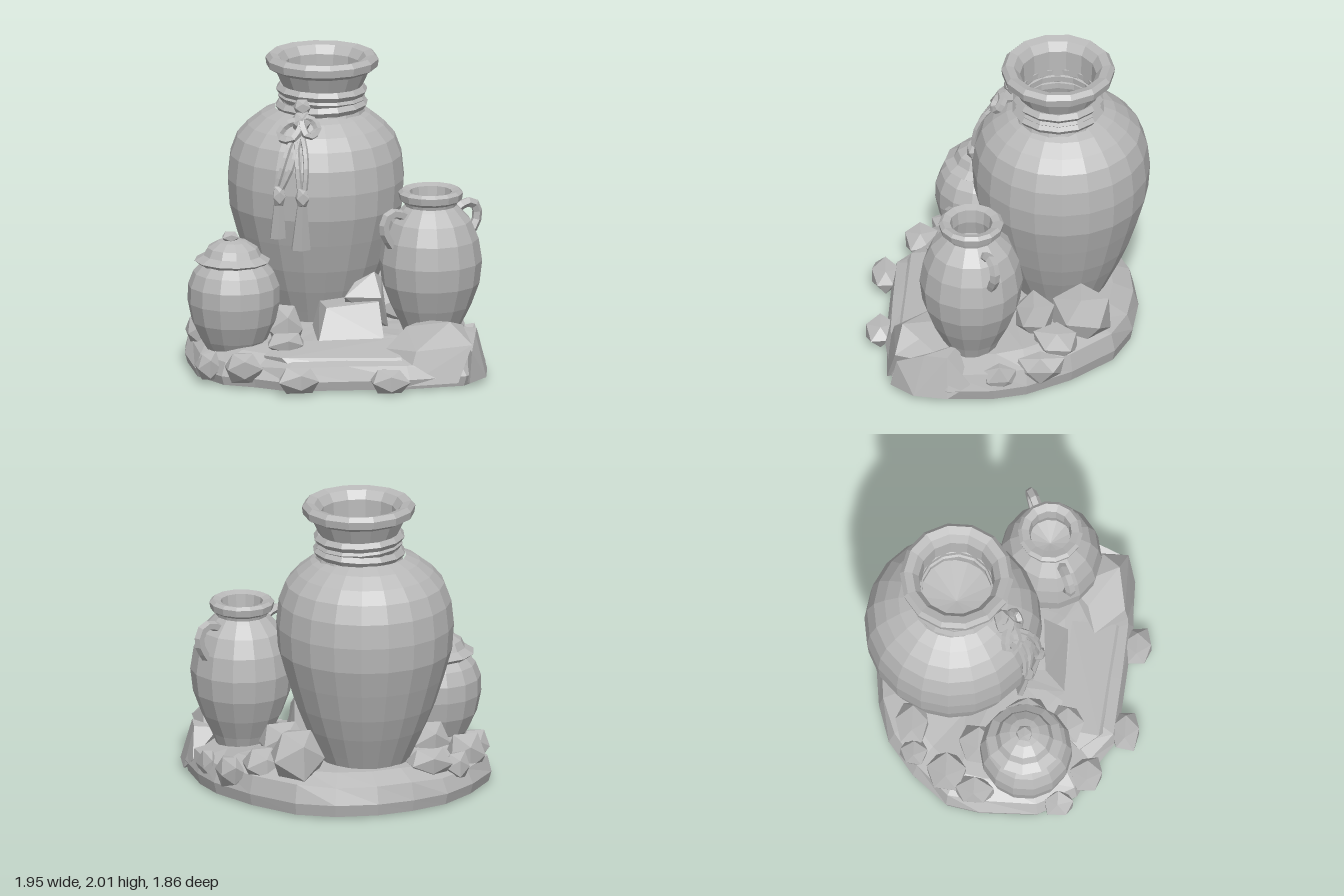
import * as THREE from 'three';
import { ConvexGeometry } from 'three/addons/geometries/ConvexGeometry.js';

const stone = new THREE.MeshStandardMaterial({ color: 0xb8b8b8, flatShading: true });
stone.name = 'grey stone';

// Seeded random in -1..1
let seed = 7;
const rnd = () => {
  seed = (seed * 16807) % 2147483647;
  return (seed / 2147483647) * 2 - 1;
};
const V = (x, y, z) => new THREE.Vector3(x, y, z);

function add(parent, name, geometry, x = 0, y = 0, z = 0) {
  const mesh = new THREE.Mesh(geometry, stone);
  mesh.name = name;
  mesh.position.set(x, y, z);
  parent.add(mesh);
  return mesh;
}

const lathe = (profile, sides) =>
  new THREE.LatheGeometry(profile.map(([r, y]) => new THREE.Vector2(r, y)), sides);

// Irregular faceted rock: convex hull of jittered points on a box-like ellipsoid
function rock(parent, name, x, y, z, rx, ry, rz) {
  const src = new THREE.IcosahedronGeometry(1, 0).toNonIndexed().getAttribute('position');
  const seen = new Map();
  for (let i = 0; i < src.count; i++) {
    const p = V().fromBufferAttribute(src, i);
    const key = p.toArray().map(v => v.toFixed(2)).join();
    if (!seen.has(key)) {
      p.multiplyScalar(1.08 + 0.14 * rnd());
      seen.set(key, V(p.x * rx, p.y * ry, p.z * rz));
    }
  }
  add(parent, name, new ConvexGeometry([...seen.values()]), x, y, z);
}

const hull = (parent, name, pts) =>
  add(parent, name, new ConvexGeometry(pts.map(p => V(...p))));

// Rocky plinth from scaled copies of one outline
function plinth() {
  const outline = [
    [-0.95, -0.13], [-0.91, -0.35], [-0.72, -0.58], [-0.5, -0.75], [-0.25, -0.83], [0, -0.86],
    [0.28, -0.82], [0.52, -0.7], [0.75, -0.42], [0.91, -0.12], [0.96, 0.1], [0.96, 0.4],
    [0.87, 0.66], [0.78, 0.76], [0.4, 0.8], [0, 0.77], [-0.4, 0.74], [-0.6, 0.6],
    [-0.8, 0.5], [-0.94, 0.25]];
  const rings = [[0, 0], [0.98, 0], [1, 0.07], [0.96, 0.17], [0.8, 0.225], [0.45, 0.25], [0, 0.26]];
  const pos = [], index = [], n = outline.length;
  rings.forEach(([s, h], k) => {
    for (const [x, z] of outline) {
      const j = k > 2 && s ? 0.015 * rnd() : 0;
      pos.push(x * (s + j), h * (1 + 0.1 * x * s - 0.15 * z * s) + j, z * (s + j));
    }
  });
  for (let k = 0; k < rings.length - 1; k++) {
    for (let j = 0; j < n; j++) {
      const a = k * n + j, a2 = k * n + (j + 1) % n;
      index.push(a, a + n, a2 + n, a, a2 + n, a2);
    }
  }
  const g = new THREE.BufferGeometry();
  g.setAttribute('position', new THREE.Float32BufferAttribute(pos, 3));
  g.setIndex(index);
  g.computeVertexNormals();
  return g;
}

// Large jar body: radius by height
const JAR = { x: -0.05, z: -0.355 };
const jarProfile = [[0, 0.2], [0.27, 0.2], [0.33, 0.33], [0.4, 0.48], [0.46, 0.63], [0.52, 0.82],
  [0.57, 1.0], [0.582, 1.17], [0.565, 1.33], [0.52, 1.45], [0.45, 1.53], [0.36, 1.6], [0.27, 1.64]];

// Point on the jar's front surface, lifted outwards
function onJar(x, y, lift) {
  const i = Math.max(2, jarProfile.findIndex(p => p[1] >= y));
  const [r0, y0] = jarProfile[i - 1], [r1, y1] = jarProfile[i];
  const r = r0 + (r1 - r0) * (y - y0) / (y1 - y0) + lift;
  return V(x, y, JAR.z + Math.sqrt(Math.max(0, r * r - (x - JAR.x) ** 2)));
}

const tube = (pts, radius, steps = 8, sides = 5, closed = false) =>
  new THREE.TubeGeometry(new THREE.CatmullRomCurve3(pts, closed), steps, radius, sides, closed);

function largeJar() {
  const g = new THREE.Group();
  g.name = 'largeJar';
  add(g, 'jarBody', lathe(jarProfile, 20), JAR.x, 0, JAR.z);
  const neck = add(g, 'jarNeck', lathe([[0.29, 1.6], [0.27, 1.66], [0.26, 1.78], [0.31, 1.89],
    [0.365, 1.92], [0.372, 1.97], [0.345, 2.0], [0.29, 1.985], [0.25, 1.93], [0.24, 1.75], [0.3, 1.55],
    [0, 1.5]], 14), -0.02, 0, -0.335);
  neck.rotation.z = -0.004;
  // Rope wound around the neck
  [[1.665, 0.272, 0.03], [1.715, 0.255, -0.04], [1.765, 0.268, -0.02]].forEach(([y, r, tilt]) => {
    const rope = add(g, 'neckRope', new THREE.TorusGeometry(r, 0.034, 5, 14), -0.015, y, -0.335);
    rope.rotation.set(Math.PI / 2, tilt, 0);
  });
  // Knot with bow loops
  rock(g, 'knot', -0.2, 1.63, 0.0, 0.065, 0.07, 0.07);
  rock(g, 'knotTop', -0.19, 1.72, -0.03, 0.055, 0.055, 0.05);
  add(g, 'bowLoop', tube([V(-0.2, 1.64, 0.03), V(-0.3, 1.61, 0.0), V(-0.35, 1.54, 0.02),
    V(-0.27, 1.53, 0.08)], 0.028, 10, 5, true));
  add(g, 'bowLoop', tube([V(-0.2, 1.65, 0.03), V(-0.13, 1.64, 0.02), V(-0.1, 1.58, 0.06),
    V(-0.17, 1.55, 0.09)], 0.028, 10, 5, true));
  // Two hanging cords, each ending in a bead and a flared tassel
  [[-0.37, 0.88, 0.058], [-0.225, 0.81, 0.07]].forEach(([x, end, w]) => {
    for (const s of [-1, 1]) {
      const pts = [1.57, 1.48, 1.35, 1.22].map((y, i) =>
        onJar(-0.22 + (x + 0.22) * (i / 3) + s * 0.014 * (1 + Math.sin(i)), y, 0.015));
      add(g, 'cord', tube(pts, 0.02, 6));
    }
    const b = onJar(x, 1.17, 0.02);
    rock(g, 'bead', b.x, b.y, b.z, 0.045, 0.065, 0.04);
    const foot = onJar(x, end, 0.025);
    const len = b.distanceTo(foot);
    const skirt = add(g, 'tassel', new THREE.CylinderGeometry(0.03, w, len, 6), 0, 0, 0);
    skirt.position.copy(b).lerp(foot, 0.5);
    skirt.scale.z = 0.55;
    skirt.rotation.x = Math.asin((b.z - foot.z) / len);
  });
  return g;
}

function handledPot() {
  const g = new THREE.Group();
  g.name = 'handledPot';
  g.position.set(0.62, 0, 0.24);
  add(g, 'potBody', lathe([[0, 0.2], [0.16, 0.2], [0.2, 0.3], [0.265, 0.43], [0.32, 0.58], [0.338, 0.73],
    [0.315, 0.88], [0.265, 1.0], [0.19, 1.08], [0.17, 1.1], [0.175, 1.12], [0.205, 1.14], [0.213, 1.185],
    [0.19, 1.205], [0.14, 1.19], [0.13, 1.1], [0.15, 1.0], [0, 0.96]], 14));
  // Pair of handles on opposite sides
  for (const a of [0.43, 0.43 + Math.PI]) {
    const pts = [[0.19, 1.04], [0.28, 1.08], [0.35, 1.05], [0.36, 0.96], [0.3, 0.86]]
      .map(([r, y]) => V(r, y, 0));
    const h = add(g, 'handle', tube(pts, 0.034, 7, 5));
    h.rotation.y = a;
  }
  return g;
}

function liddedPot() {
  const g = new THREE.Group();
  g.name = 'liddedPot';
  g.position.set(-0.67, 0, 0.16);
  add(g, 'potBody', lathe([[0, 0.14], [0.17, 0.15], [0.22, 0.23], [0.275, 0.35], [0.302, 0.48],
    [0.3, 0.59], [0.265, 0.68], [0.21, 0.74], [0, 0.76]], 14));
  const lid = add(g, 'lid', lathe([[0, 0.72], [0.21, 0.725], [0.25, 0.755], [0.19, 0.79], [0.165, 0.84],
    [0.1, 0.88], [0, 0.9]], 12), -0.015, 0, -0.01);
  lid.rotation.z = -0.01;
  rock(g, 'lidKnob', -0.02, 0.91, -0.01, 0.056, 0.038, 0.056);
  return g;
}

function rocks() {
  const g = new THREE.Group();
  g.name = 'rocks';
  // Big boulders at the front right
  hull(g, 'boulder', [[0.27, 0.05, 0.6], [0.28, 0.22, 0.55], [0.42, 0.35, 0.5], [0.68, 0.42, 0.69],
    [0.78, 0.37, 0.58], [0.82, 0.27, 0.74], [0.72, 0.03, 0.79], [0.38, 0.02, 0.79], [0.55, 0.36, 0.38],
    [0.85, 0.2, 0.38], [0.45, 0.24, 0.74]]);
  hull(g, 'edgeBoulder', [[0.97, 0.02, 0.4], [0.95, 0.12, 0.25], [0.9, 0.3, 0.4], [0.87, 0.3, 0.55],
    [0.8, 0.02, 0.77], [0.93, 0.02, 0.62], [0.82, 0.22, 0.73], [0.75, 0.3, 0.33], [0.75, 0, 0.5]]);
  // Leaning slab between the pots
  hull(g, 'slab', [[-0.14, 0.24, 0.38], [0.29, 0.24, 0.38], [-0.07, 0.43, 0.25], [0.28, 0.45, 0.22],
    [-0.08, 0.42, 0.0], [0.28, 0.45, 0.0], [-0.14, 0.2, 0.0], [0.3, 0.2, 0.0]]);
  hull(g, 'slabBack', [[0.06, 0.48, 0.18], [0.3, 0.47, 0.2], [0.14, 0.56, 0.1], [0.27, 0.62, 0.08],
    [0.33, 0.56, 0], [0.1, 0.3, 0], [0.36, 0.25, 0.1], [0.36, 0.3, -0.1]]);
  // Flat ledges along the front
  hull(g, 'ledge', [[-0.52, 0.19, 0.5], [0.34, 0.2, 0.52], [-0.42, 0.2, 0.62], [0.36, 0.19, 0.69],
    [-0.35, 0.13, 0.68], [0.36, 0.12, 0.76], [-0.5, 0.1, 0.5], [0.35, 0.25, 0.4], [-0.4, 0.24, 0.36]]);
  // Loose stones: centre and half sizes
  [
    [0.26, 0.07, 0.83, 0.13, 0.085, 0.1], [-0.33, 0.09, 0.79, 0.14, 0.09, 0.1],
    [-0.67, 0.13, 0.56, 0.13, 0.11, 0.11], [-0.36, 0.24, 0.41, 0.13, 0.07, 0.11],
    [-0.33, 0.29, 0.15, 0.12, 0.16, 0.14], [-0.87, 0.1, 0.38, 0.08, 0.1, 0.1],
    [-0.85, 0.2, -0.17, 0.1, 0.1, 0.13], [-0.73, 0.21, -0.36, 0.13, 0.13, 0.13],
    [-0.55, 0.25, -0.16, 0.13, 0.14, 0.13], [-0.61, 0.21, -0.58, 0.09, 0.09, 0.09],
    [-0.42, 0.25, -0.6, 0.15, 0.1, 0.12], [0.45, 0.34, -0.48, 0.18, 0.19, 0.19],
    [0.47, 0.33, -0.17, 0.16, 0.14, 0.14], [0.64, 0.25, -0.32, 0.13, 0.12, 0.15],
    [0.83, 0.18, -0.21, 0.09, 0.11, 0.16], [0.9, 0.14, 0.06, 0.06, 0.11, 0.12],
  ].forEach(r => rock(g, 'stone', ...r));
  return g;
}

export function createModel() {
  seed = 7;
  const model = new THREE.Group();
  model.name = 'jarsOnRocks';
  add(model, 'plinth', plinth());
  model.add(rocks(), largeJar(), handledPot(), liddedPot());
  return model;
}
